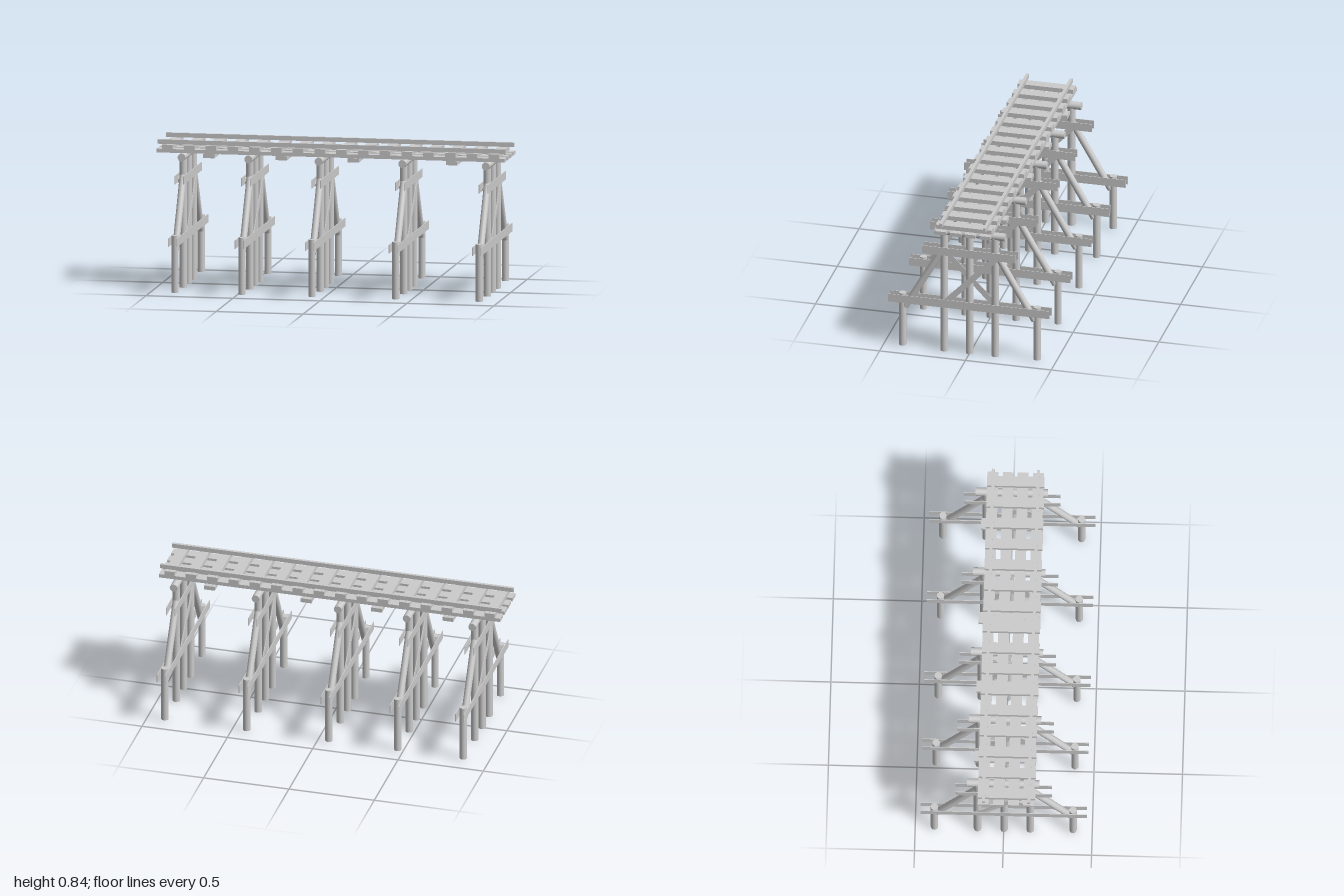
import * as THREE from 'three';

const wood = new THREE.MeshStandardMaterial({ color: 0xcccccc });

function add(parent, name, geometry, x, y, z) {
  const mesh = new THREE.Mesh(geometry, wood);
  mesh.name = name;
  mesh.position.set(x, y, z);
  parent.add(mesh);
  return mesh;
}

// Box given by its ranges in y and z, centred on x
function beam(parent, name, x, width, y0, y1, z0, z1) {
  return add(parent, name, new THREE.BoxGeometry(width, y1 - y0, z1 - z0), x, (y0 + y1) / 2, (z0 + z1) / 2);
}

// Round log between two points [y, z] in the plane of a bent
function log(parent, name, a, b, radius) {
  const dy = b[0] - a[0], dz = b[1] - a[1];
  const geometry = new THREE.CylinderGeometry(radius, radius, Math.hypot(dy, dz), 20);
  const mesh = add(parent, name, geometry, 0, (a[0] + b[0]) / 2, (a[1] + b[1]) / 2);
  mesh.rotation.x = Math.atan2(dz, dy);
  return mesh;
}

// Flat board between two points [y, z], set at an offset in x
function board(parent, name, x, a, b, width) {
  const dy = b[0] - a[0], dz = b[1] - a[1];
  const geometry = new THREE.BoxGeometry(0.004, Math.hypot(dy, dz), width);
  const mesh = add(parent, name, geometry, x, (a[0] + b[0]) / 2, (a[1] + b[1]) / 2);
  mesh.rotation.x = Math.atan2(dz, dy);
  return mesh;
}

function createBent() {
  const bent = new THREE.Group();
  bent.name = 'trestleBent';

  // Main posts and the cap log across them
  for (const z of [-0.148, 0.002, 0.15]) log(bent, 'mainPost', [0, z], [0.735, z], 0.0215);
  log(bent, 'capLog', [0.748, -0.207], [0.748, 0.201], 0.0225);

  // Short outer posts with raking struts
  for (const s of [-1, 1]) {
    log(bent, 'outerPost', [0.007, s * 0.392], [0.333, s * 0.392], 0.0205);
    log(bent, 'rakingStrut', [0.25, s * 0.376], [0.645, s * 0.15], 0.0195);
  }

  // Clamping planks and one diagonal brace on each face
  for (const s of [-1, 1]) {
    beam(bent, 'upperPlank', s * 0.025, 0.004, 0.605, 0.653, -0.273, 0.273);
    beam(bent, 'lowerPlank', s * 0.024, 0.004, 0.278, 0.326, -0.47, 0.47);
    board(bent, 'crossBrace', s * 0.021, [0.308, s * 0.14], [0.63, s * -0.17], 0.034);
  }
  return bent;
}

export function createModel() {
  const model = new THREE.Group();
  model.name = 'railwayTrestle';

  // Five bents, unevenly spaced
  for (const x of [-0.853, -0.469, -0.065, 0.416, 0.896]) {
    const bent = createBent();
    bent.position.x = x;
    model.add(bent);
  }

  const deck = new THREE.Group();
  deck.name = 'deck';
  model.add(deck);

  // Long stringers
  for (const z of [-0.112, -0.025, 0.058, 0.145]) {
    beam(deck, 'stringer', 0, 2, 0.77, 0.791, z - 0.031, z + 0.031);
  }

  // Cross ties
  for (let i = 0; i < 16; i++) {
    beam(deck, 'tie', -0.9375 + i * 0.125, 0.06, 0.791, 0.816, -0.144, 0.181);
  }

  // Rails
  for (const z of [-0.11, 0.145]) beam(deck, 'rail', 0, 2, 0.816, 0.841, z - 0.0085, z + 0.0085);

  // Cross blocks below the stringers between bents
  for (const x of [-0.7, -0.283, 0.131, 0.696]) {
    beam(deck, 'crossBlock', x, 0.064, 0.746, 0.77, -0.17, 0.18);
  }
  return model;
}
